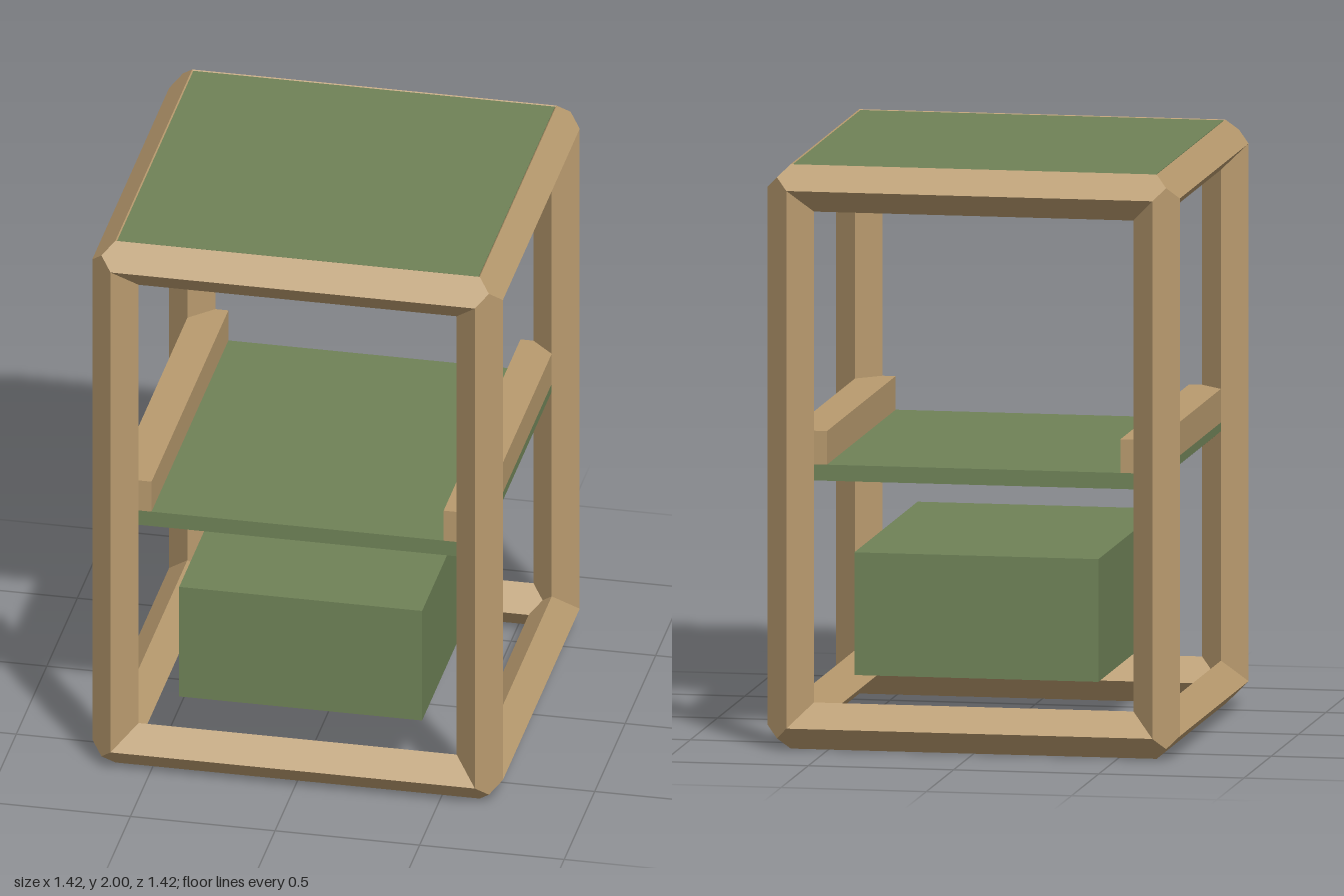
import * as THREE from 'three';

const wood = new THREE.MeshStandardMaterial({ color: 0xb89a6e, flatShading: true });
const green = new THREE.MeshStandardMaterial({ color: 0x6f8257, flatShading: true });

const HALF = [0.63, 0.92, 0.63]; // frame centre lines
const R = 0.08; // half diagonal of a bar

// Diamond section of a bar: two cross offsets and the mitred end offset
const RING = [
  [1, 0, 0], [0.5, 0.5, 0.5], [0, 1, 0], [-0.5, 0.5, -0.5],
  [-1, 0, -1], [-0.5, -0.5, -0.5], [0, -1, -1], [0.5, -0.5, -0.5],
];

// Mitred bar along one axis, on the frame edge chosen by the signs su and sv
function barGeometry(axis, su, sv) {
  const u = (axis + 1) % 3, v = (axis + 2) % 3;
  const point = (i, end) => {
    const [a, b, w] = RING[i % RING.length];
    const p = [0, 0, 0];
    p[u] = su * (HALF[u] + a * R);
    p[v] = sv * (HALF[v] + b * R);
    p[axis] = end * (HALF[axis] + w * R);
    p[1] += 1;
    return p;
  };
  const positions = [];
  for (let i = 0; i < RING.length; i++) {
    const quad = [point(i, -1), point(i + 1, -1), point(i + 1, 1), point(i, 1)];
    if (su * sv < 0) quad.reverse();
    for (const k of [0, 1, 2, 0, 2, 3]) positions.push(...quad[k]);
  }
  const geometry = new THREE.BufferGeometry();
  geometry.setAttribute('position', new THREE.Float32BufferAttribute(positions, 3));
  geometry.computeVertexNormals();
  return geometry;
}

export function createModel() {
  const model = new THREE.Group();
  model.name = 'sideTable';

  const add = (parent, name, geometry, material, x = 0, y = 0, z = 0) => {
    const mesh = new THREE.Mesh(geometry, material);
    mesh.name = name;
    mesh.position.set(x, y, z);
    parent.add(mesh);
    return mesh;
  };

  // Frame: twelve bars along the edges of a box
  const frame = new THREE.Group();
  frame.name = 'frame';
  model.add(frame);
  ['crossRail', 'post', 'sideRail'].forEach((name, axis) => {
    for (const su of [-1, 1])
      for (const sv of [-1, 1]) add(frame, name, barGeometry(axis, su, sv), wood);
  });

  // Top panel, set between the crests of the upper rails
  add(model, 'topPanel', new THREE.BoxGeometry(1.25, 0.02, 1.25), green, 0, 1.988, 0);

  // Middle shelf with its lower side edges bevelled
  const profile = new THREE.Shape([
    [-0.6, 0.92], [0.6, 0.92], [0.63, 0.945], [0.63, 0.975], [-0.63, 0.975], [-0.63, 0.945],
  ].map(([x, y]) => new THREE.Vector2(x, y)));
  const shelf = new THREE.ExtrudeGeometry(profile, { depth: 1.26, bevelEnabled: false });
  add(model, 'shelf', shelf, green, 0, 0, -0.63);

  // Side rails on the shelf
  for (const s of [-1, 1])
    add(model, 'shelfRail', new THREE.BoxGeometry(0.125, 0.115, 1.26), wood, s * 0.5675, 1.0325, 0);

  // Storage box below the shelf
  add(model, 'storageBox', new THREE.BoxGeometry(0.84, 0.42, 1.16), green, 0, 0.46, 0);

  return model;
}
